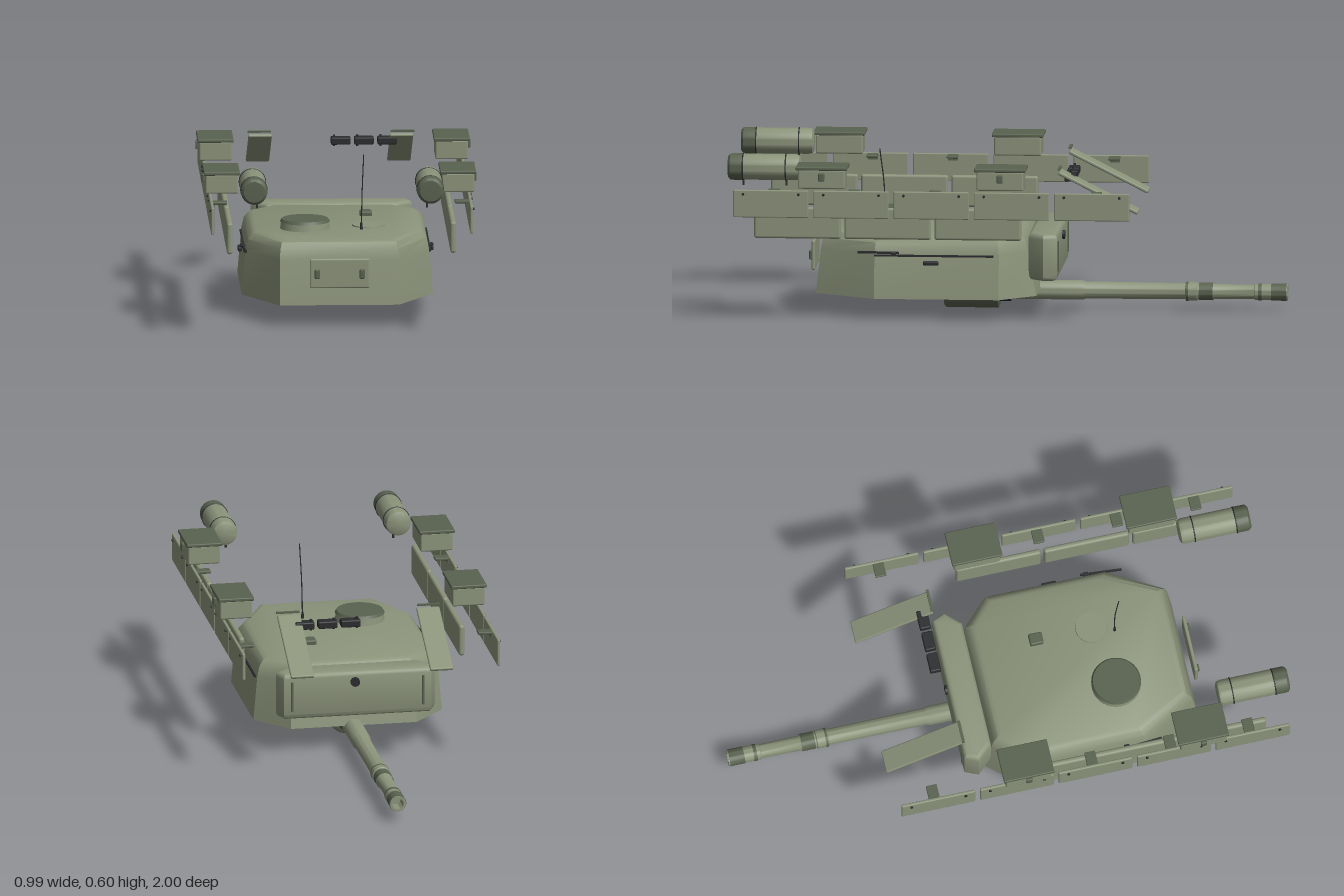
import * as THREE from 'three';
import { toCreasedNormals } from 'three/addons/utils/BufferGeometryUtils.js';
import { RoundedBoxGeometry } from 'three/addons/geometries/RoundedBoxGeometry.js';

const mat = (color) => new THREE.MeshStandardMaterial({ color });
const GREEN = mat(0x8b937a), DARK = mat(0x59624f), BLACK = mat(0x2b2c2e);

function add(parent, name, geo, material, x = 0, y = 0, z = 0) {
  const m = new THREE.Mesh(geo, material);
  m.name = name;
  m.position.set(x, y, z);
  parent.add(m);
  return m;
}
const box = (w, h, d) => new THREE.BoxGeometry(w, h, d);
const rbox = (w, h, d, r) => new RoundedBoxGeometry(w, h, d, 2, r);

// Turned part whose axis runs toward -z; profile entries are [radius, z]
function turned(profile, segments = 32) {
  const pts = profile.map(([r, z]) => new THREE.Vector2(r, -z));
  return toCreasedNormals(new THREE.LatheGeometry(pts, segments).rotateX(-Math.PI / 2), 0.6);
}

// Closed loft through horizontal rings of [x, y, z] corners, lowest ring first
function loft(rings) {
  const p = [], n = rings[0].length;
  const tri = (a, b, c) => p.push(...a, ...b, ...c);
  for (let k = 0; k < rings.length - 1; k++)
    for (let i = 0; i < n; i++) {
      const j = (i + 1) % n, a = rings[k], b = rings[k + 1];
      tri(a[i], a[j], b[j]);
      tri(a[i], b[j], b[i]);
    }
  const lo = rings[0], hi = rings[rings.length - 1];
  for (let i = 1; i < n - 1; i++) {
    tri(hi[0], hi[i], hi[i + 1]);
    tri(lo[0], lo[i + 1], lo[i]);
  }
  const g = new THREE.BufferGeometry();
  g.setAttribute('position', new THREE.Float32BufferAttribute(p, 3));
  g.computeVertexNormals();
  return toCreasedNormals(g, 0.5);
}

// Octagonal ring: front corner x, side x, front z, side z, rear side z, rear z, rear corner x
function octagon(y, fx, sx, zf, zs, zr, zb, bx) {
  const half = [[fx, zf], [sx, zs], [sx, zr], [bx, zb]];
  const right = half.map(([x, z]) => [x, y, z]);
  const left = half.map(([x, z]) => [-x, y, z]).reverse();
  return [...right, ...left];
}

function addTurret(g) {
  // octagon corners run +x front to back, counter-clockwise from above
  add(g, 'turretBody', loft([
    octagon(0.078, 0.215, 0.345, 0.69, 0.47, 0.02, -0.108, 0.23),
    octagon(0.24, 0.215, 0.331, 0.672, 0.47, 0.02, -0.078, 0.23),
    octagon(0.28, 0.212, 0.322, 0.664, 0.466, 0.024, -0.068, 0.225),
    octagon(0.302, 0.206, 0.305, 0.65, 0.456, 0.034, -0.05, 0.218),
    octagon(0.31, 0.198, 0.29, 0.634, 0.446, 0.044, -0.035, 0.208),
  ]), GREEN);

  // rear stowage bin with angled ends
  const s = new THREE.Shape();
  [[0.23, 0.098], [0.27, 0.14], [0.258, 0.168], [-0.258, 0.168], [-0.27, 0.14], [-0.23, 0.098]]
    .forEach(([x, y], i) => (i ? s.lineTo(x, y) : s.moveTo(x, y)));
  const bin = new THREE.ExtrudeGeometry(s, {
    depth: 0.135, bevelEnabled: true, bevelSize: 0.018, bevelThickness: 0.018, bevelSegments: 3,
  });
  bin.rotateX(-Math.PI / 2);
  add(g, 'rearBin', toCreasedNormals(bin, 0.6), GREEN, 0, 0.156, 0);
  add(g, 'rearPort', new THREE.CylinderGeometry(0.017, 0.017, 0.014, 20).rotateX(Math.PI / 2),
    BLACK, 0.01, 0.27, -0.188);
  for (const x of [-0.24, 0.24]) add(g, 'rearBinStrap', box(0.008, 0.11, 0.006), DARK, x, 0.225, -0.187);

  // roof fittings
  add(g, 'cupolaRing', new THREE.CylinderGeometry(0.086, 0.09, 0.03, 32), GREEN, -0.115, 0.322, 0.41);
  add(g, 'cupolaLid', new THREE.CylinderGeometry(0.084, 0.09, 0.01, 32), DARK, -0.115, 0.34, 0.41);
  add(g, 'roofHatch', new THREE.CylinderGeometry(0.058, 0.06, 0.012, 32), GREEN, 0.115, 0.309, 0.37);
  add(g, 'roofSight', rbox(0.044, 0.024, 0.05, 0.006), DARK, 0.113, 0.315, 0.165);
  const mast = new THREE.CatmullRomCurve3([
    new THREE.Vector3(0.087, 0.305, 0.45), new THREE.Vector3(0.09, 0.45, 0.452),
    new THREE.Vector3(0.095, 0.588, 0.468),
  ]);
  add(g, 'antenna', new THREE.TubeGeometry(mast, 12, 0.0022, 6), BLACK);
  add(g, 'antennaBase', new THREE.CylinderGeometry(0.004, 0.006, 0.03, 8), BLACK, 0.087, 0.32, 0.45);

  // front access plate
  add(g, 'frontPlate', rbox(0.216, 0.108, 0.013, 0.006), GREEN, 0, 0.198, 0.708);
  for (const x of [-0.081, 0.081]) add(g, 'frontHandle', rbox(0.019, 0.036, 0.012, 0.005), DARK, x, 0.197, 0.718);

  // side rods and lugs
  for (const s of [-1, 1]) {
    add(g, 'sideRod', box(0.007, 0.007, 0.43), BLACK, s * 0.334, 0.235, 0.255);
    const rod = add(g, 'sideTool', box(0.007, 0.008, 0.15), BLACK, s * 0.337, 0.246, 0.455);
    rod.rotation.y = -s * 0.08;
    add(g, 'sideRodEnd', rbox(0.024, 0.009, 0.02, 0.003), BLACK, s * 0.337, 0.245, 0.4);
    add(g, 'sideLug', rbox(0.016, 0.016, 0.055, 0.005), BLACK, s * 0.345, 0.21, 0.265);
  }
}

function addGun(g) {
  const y = 0.064;
  add(g, 'gunMount', turned([
    [0, 0.243], [0.056, 0.24], [0.064, 0.232], [0.064, 0.045], [0.052, 0.04], [0, 0.04],
  ]), DARK, 0, y);
  add(g, 'gunCollar', turned([[0.034, 0.04], [0.042, 0.04], [0.042, 0.0], [0.034, 0.0]]), BLACK, 0, y + 0.002);
  add(g, 'gunBarrel', turned([
    [0.035, 0.05], [0.035, -0.26], [0.031, -0.27], [0.029, -0.63], [0.034, -0.632], [0.034, -0.672],
    [0.03, -0.675], [0.03, -0.676], [0.03, -0.73], [0.027, -0.735], [0.026, -0.88],
    [0.029, -0.882], [0.029, -1], [0.02, -1], [0.02, -0.94], [0, -0.94],
  ]), GREEN, 0, y + 0.003);
  for (const [z, d, r] of [[-0.705, 0.05, 0.032], [-0.637, 0.008, 0.035], [-0.9, 0.012, 0.031], [-0.968, 0.055, 0.031]])
    add(g, 'barrelBand', turned([[0.021, d / 2], [r, d / 2], [r, -d / 2], [0.021, -d / 2], [0.021, d / 2]]), DARK, 0, y + 0.003, z);
}

// Everything carried on one flank; s is the side
function addFlank(g, s) {
  const side = new THREE.Group();
  side.name = s > 0 ? 'leftFlank' : 'rightFlank';
  g.add(side);

  // upper skirt row with bolts
  for (let i = 0; i < 5; i++) {
    const z = 0.834 - i * 0.29;
    add(side, 'upperSkirtPanel', rbox(0.011, 0.1, 0.272, 0.004), GREEN, s * 0.467, 0.439, z);
    for (const dz of [-0.1, 0.1])
      add(side, 'skirtBolt', new THREE.CylinderGeometry(0.005, 0.005, 0.008, 8).rotateZ(Math.PI / 2),
        BLACK, s * 0.474, 0.474, z + dz);
  }
  // lower skirt row
  for (let i = 0; i < 3; i++)
    add(side, 'lowerSkirtPanel', rbox(0.021, 0.115, 0.314, 0.009), GREEN, s * 0.403, 0.362, 0.742 - i * 0.326);
  // skirt brackets
  for (const z of [-0.34, 0.245, 0.535, 0.825]) {
    add(side, 'skirtBracket', rbox(0.055, 0.01, 0.04, 0.003), DARK, s * 0.438, 0.482, z);
    add(side, 'bracketFoot', box(0.008, 0.02, 0.036), DARK, s * 0.461, 0.474, z);
  }
  // stowage boxes
  for (const z of [0.65, 0.005]) {
    add(side, 'stowageBox', rbox(0.118, 0.07, 0.17, 0.006), GREEN, s * 0.426, 0.532, z);
    add(side, 'stowageLid', rbox(0.13, 0.013, 0.186, 0.004), DARK, s * 0.426, 0.571, z);
    add(side, 'stowageLatch', rbox(0.012, 0.03, 0.022, 0.004), DARK, s * 0.49, 0.541, z);
  }
  // front canister
  add(side, 'canister', turned([
    [0, 1], [0.036, 0.998], [0.045, 0.992], [0.047, 0.982], [0.047, 0.755], [0.044, 0.742], [0.034, 0.737], [0, 0.735],
  ]), GREEN, s * 0.318, 0.551);
  add(side, 'canisterCap', turned([[0, 1], [0.038, 0.999], [0.047, 0.991], [0.048, 0.982], [0.048, 0.945], [0.046, 0.945]]),
    DARK, s * 0.318, 0.551);
  for (const z of [0.79, 0.945]) {
    add(side, 'canisterBand', new THREE.TorusGeometry(0.047, 0.0025, 6, 32), BLACK, s * 0.318, 0.551, z);
    add(side, 'canisterStrut', box(0.007, 0.022, 0.007), BLACK, s * 0.307, 0.494, z);
  }
  // sloping rear flap
  const flap = add(side, 'rearFlap', rbox(0.085, 0.013, 0.32, 0.005), GREEN, s * 0.255, 0.465, -0.336);
  flap.rotation.x = -Math.atan2(0.142, 0.282);
  add(side, 'flapHinge', box(0.085, 0.006, 0.01), DARK, s * 0.258, 0.55, -0.195);
}

export function createModel() {
  const g = new THREE.Group();
  g.name = 'turretAssembly';
  addTurret(g);
  addGun(g);
  for (const s of [-1, 1]) addFlank(g, s);

  // row of three small spare blocks
  for (let i = 0; i < 3; i++) {
    const x = 0.036 + i * 0.084;
    add(g, 'spareBlock', rbox(0.071, 0.027, 0.04, 0.005), BLACK, x, 0.51, -0.23);
    add(g, 'spareBlockPin', new THREE.CylinderGeometry(0.004, 0.004, 0.042, 8), BLACK, x - 0.024, 0.51, -0.23);
  }
  return g;
}
